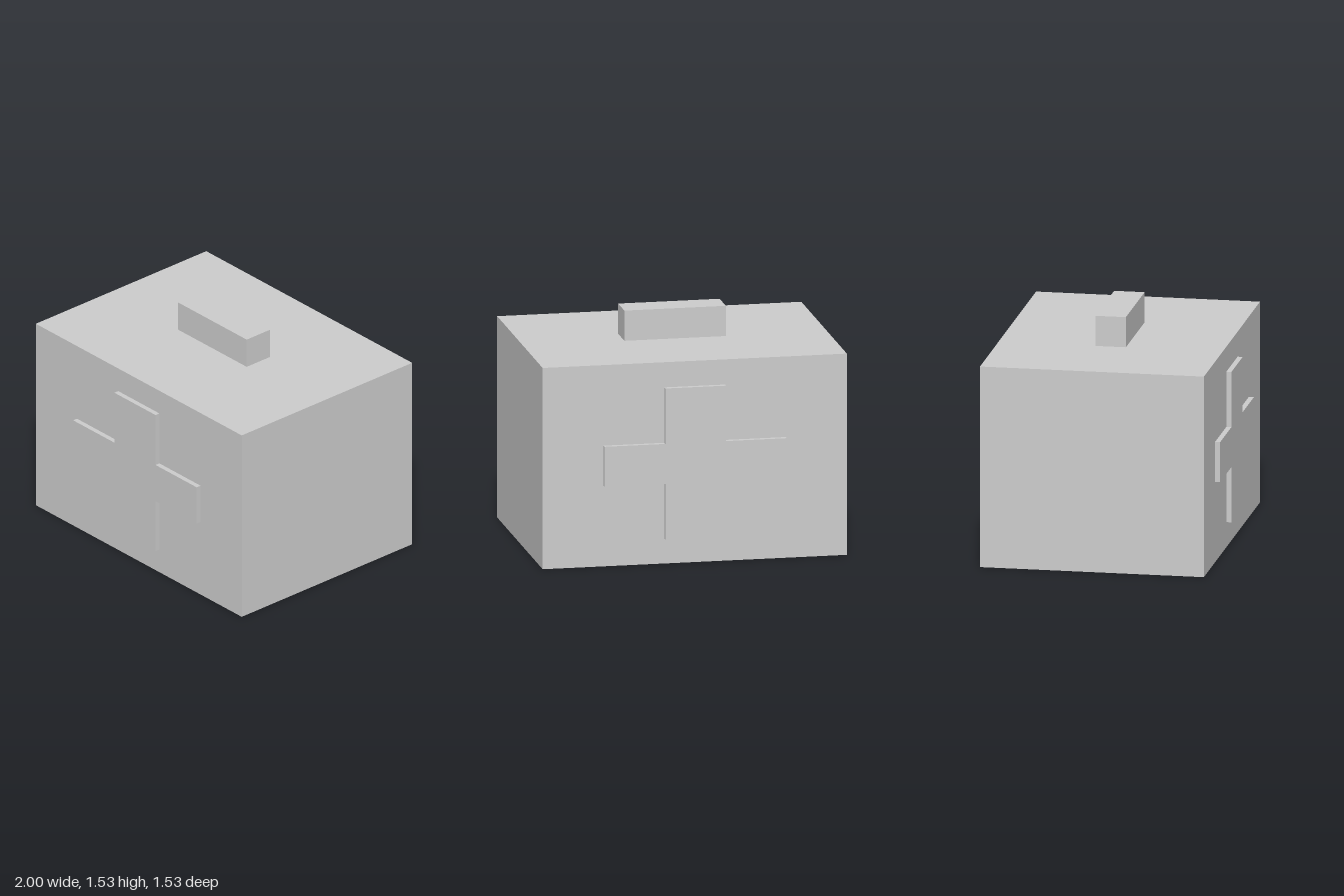
import * as THREE from 'three';

const WIDTH = 2, HEIGHT = 1.333, DEPTH = 1.467, RELIEF = 0.033;

// Plus-shaped outline centred on the origin
function crossShape(armX, armY, halfX, halfY) {
  return new THREE.Shape([
    [-halfX, -armY], [halfX, -armY], [halfX, -halfY], [armX, -halfY],
    [armX, halfY], [halfX, halfY], [halfX, armY], [-halfX, armY],
    [-halfX, halfY], [-armX, halfY], [-armX, -halfY], [-halfX, -halfY],
  ].map(([x, y]) => new THREE.Vector2(x, y)));
}

export function createModel() {
  const group = new THREE.Group();
  group.name = 'medicalCase';
  const grey = new THREE.MeshStandardMaterial({ color: 0xcccccc });
  grey.name = 'lightGrey';

  const add = (name, geometry, x, y, z) => {
    const mesh = new THREE.Mesh(geometry, grey);
    mesh.name = name;
    mesh.position.set(x, y, z);
    group.add(mesh);
    return mesh;
  };

  // Case body
  add('body', new THREE.BoxGeometry(WIDTH, HEIGHT, DEPTH), 0, HEIGHT / 2, 0);

  // Handle block on the lid
  add('handle', new THREE.BoxGeometry(0.667, 0.2, 0.2), 0, HEIGHT + 0.1, 0);

  // Raised crosses on the front and back
  const cross = new THREE.ExtrudeGeometry(crossShape(0.6, 0.5, 0.2, 0.133), {
    depth: RELIEF, bevelEnabled: false,
  });
  add('frontCross', cross, 0, HEIGHT / 2, DEPTH / 2);
  add('backCross', cross, 0, HEIGHT / 2, -DEPTH / 2).rotation.y = Math.PI;

  return group;
}
